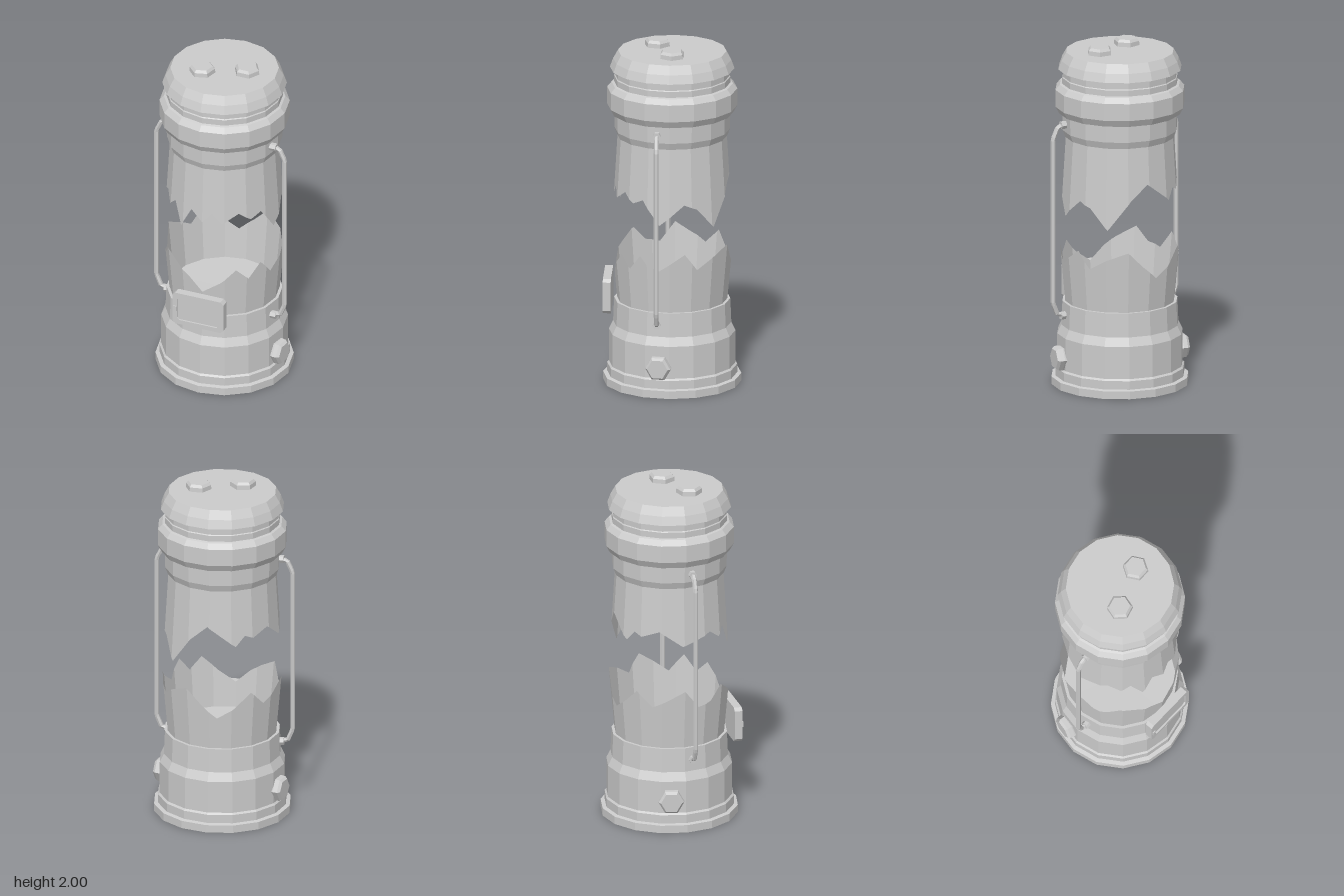
import * as THREE from 'three';

const SIDES = 16;
const grey = new THREE.MeshStandardMaterial({ color: 0xcccccc, flatShading: true, side: THREE.DoubleSide });

function add(parent, name, geometry, x = 0, y = 0, z = 0) {
  const mesh = new THREE.Mesh(geometry, grey);
  mesh.name = name;
  mesh.position.set(x, y, z);
  parent.add(mesh);
  return mesh;
}

const lathe = (points, sides = SIDES) =>
  new THREE.LatheGeometry(points.map(([r, y]) => new THREE.Vector2(r, y)), sides);

// Broken faceted tube: fixed edge at y0, torn edge given as [azimuth in degrees, y]
function brokenGlass(jags, y0, r0, flare) {
  const step = 360 / SIDES;
  const ring = [...jags, [jags[0][0] + 360, jags[0][1]]];
  const heightAt = (a) => {
    const i = ring.findIndex((p, k) => k + 1 < ring.length && a >= p[0] && a <= ring[k + 1][0]);
    const [a0, h0] = ring[i], [a1, h1] = ring[i + 1];
    return h0 + (h1 - h0) * (a - a0) / (a1 - a0);
  };
  const angles = ring.map((p) => p[0]);
  for (let k = 1; k < SIDES; k++) if (!angles.includes(k * step)) angles.push(k * step);
  angles.sort((a, b) => a - b);

  const rad = Math.PI / 180, pos = [], index = [];
  for (const a of angles) {
    const facet = Math.cos(step / 2 * rad) / Math.cos((a % step - step / 2) * rad);
    for (const y of [y0, heightAt(a)]) {
      const r = (r0 + flare * Math.abs(y - y0)) * facet;
      pos.push(r * Math.sin(a * rad), y, r * Math.cos(a * rad));
    }
  }
  for (let i = 0; i < angles.length - 1; i++) {
    const b = i * 2;
    if (heightAt(angles[i]) > y0) index.push(b, b + 2, b + 1, b + 1, b + 2, b + 3);
    else index.push(b, b + 1, b + 2, b + 1, b + 3, b + 2);
  }
  const g = new THREE.BufferGeometry();
  g.setAttribute('position', new THREE.Float32BufferAttribute(pos, 3));
  g.setIndex(index);
  g.computeVertexNormals();
  return g;
}

// Plate outline with cut corners
function cutRect(Type, w, h, c) {
  const x = w / 2, y = h / 2;
  return new Type([[-x + c, -y], [x - c, -y], [x, -y + c], [x, y - c],
    [x - c, y], [-x + c, y], [-x, y - c], [-x, -y + c]].map((p) => new THREE.Vector2(...p)));
}

export function createModel() {
  const model = new THREE.Group();
  model.name = 'brokenLantern';

  // Hollow stepped base
  add(model, 'base', lathe([
    [0.315, 0.46], [0.345, 0.28], [0.345, 0.06], [0.36, 0], [0.395, 0], [0.395, 0.045],
    [0.372, 0.05], [0.372, 0.1], [0.362, 0.11], [0.362, 0.3], [0.338, 0.35], [0.332, 0.49], [0.31, 0.49], [0, 0.485],
  ]));

  // Stepped head with collar, wide band and sloping lid
  add(model, 'head', lathe([
    [0.305, 1.47], [0.315, 1.46], [0.33, 1.5], [0.332, 1.6], [0.35, 1.6], [0.372, 1.64], [0.372, 1.74],
    [0.347, 1.77], [0.333, 1.775], [0.333, 1.81], [0.328, 1.815], [0.328, 1.86], [0.356, 1.86],
    [0.338, 1.91], [0.31, 1.96], [0, 1.96],
  ]));

  // Torn glass halves
  add(model, 'upperGlass', brokenGlass([
    [0, 1.11], [10, 1.17], [20, 1.11], [37, 1.17], [50, 1.12], [62, 1.15], [80, 1.01], [105, 1.13],
    [118, 1.1], [137, 0.98], [160, 1.15], [178, 1.24], [207, 1.12], [217, 1.18], [226, 1.16],
    [245, 1.2], [268, 1.11], [280, 1.13], [300, 1.17], [313, 1.12], [323, 1.17], [335, 1.04], [347, 1.17],
  ], 1.47, 0.312, 0.06));
  add(model, 'lowerGlass', brokenGlass([
    [0, 0.64], [18, 0.71], [34, 0.8], [47, 0.73], [60, 0.82], [75, 0.72], [90, 0.78], [105, 0.84],
    [118, 0.74], [135, 0.8], [157, 0.85], [172, 0.76], [188, 0.68], [205, 0.74], [222, 0.83],
    [238, 0.74], [255, 0.79], [270, 0.84], [285, 0.73], [300, 0.75], [313, 0.83], [332, 0.77], [345, 0.72],
  ], 0.485, 0.315, 0.09));

  // Hexagonal bolts on the lid and on both sides of the base
  const boltGeometry = lathe([[0.07, -0.03], [0.075, 0], [0.073, 0.025], [0.06, 0.04], [0, 0.04]], 6);
  add(model, 'lidBolt', boltGeometry, 0.138, 1.96, -0.005).rotation.y = Math.PI / 6;
  add(model, 'lidBolt', boltGeometry, -0.1, 1.96, 0.09).rotation.y = Math.PI / 4;
  add(model, 'sideBolt', boltGeometry, 0.36, 0.175, 0.06).rotation.set(0, -0.16, -Math.PI / 2);
  add(model, 'sideBolt', boltGeometry, -0.35, 0.185, -0.085).rotation.set(0, -0.23, Math.PI / 2);

  // Bent wire handles with small end knobs
  for (const [side, z] of [[1, 0.072], [-1, 0.045]]) {
    const handle = new THREE.Group();
    handle.name = side > 0 ? 'leftHandle' : 'rightHandle';
    const points = [[0.32, 1.545], [0.37, 1.54], [0.402, 1.47], [0.402, 0.5], [0.375, 0.435], [0.32, 0.42]]
      .map(([x, y]) => new THREE.Vector3(side * x, y, z));
    const path = new THREE.CurvePath();
    for (let i = 0; i < points.length - 1; i++) path.add(new THREE.LineCurve3(points[i], points[i + 1]));
    add(handle, 'wire', new THREE.TubeGeometry(path, 64, 0.014, 6));
    for (const y of [1.547, 0.42])
      add(handle, 'wireKnob', new THREE.CylinderGeometry(0.023, 0.023, 0.04, 6), side * 0.332, y, z).rotation.z = Math.PI / 2;
    model.add(handle);
  }

  // Front badge: framed plate with a sunken panel and side nub
  const badge = new THREE.Group();
  badge.name = 'badge';
  const frame = cutRect(THREE.Shape, 0.315, 0.205, 0.018);
  frame.holes.push(cutRect(THREE.Path, 0.26, 0.15, 0.014));
  add(badge, 'badgeFrame', new THREE.ExtrudeGeometry(frame, { depth: 0.046, bevelEnabled: false }));
  add(badge, 'badgePanel', new THREE.ExtrudeGeometry(cutRect(THREE.Shape, 0.262, 0.152, 0.014),
    { depth: 0.036, bevelEnabled: false }));
  add(badge, 'badgeNub', new THREE.BoxGeometry(0.02, 0.03, 0.01), -0.142, 0, 0.048);
  badge.position.set(-0.002, 0.532, 0.344);
  model.add(badge);

  return model;
}
